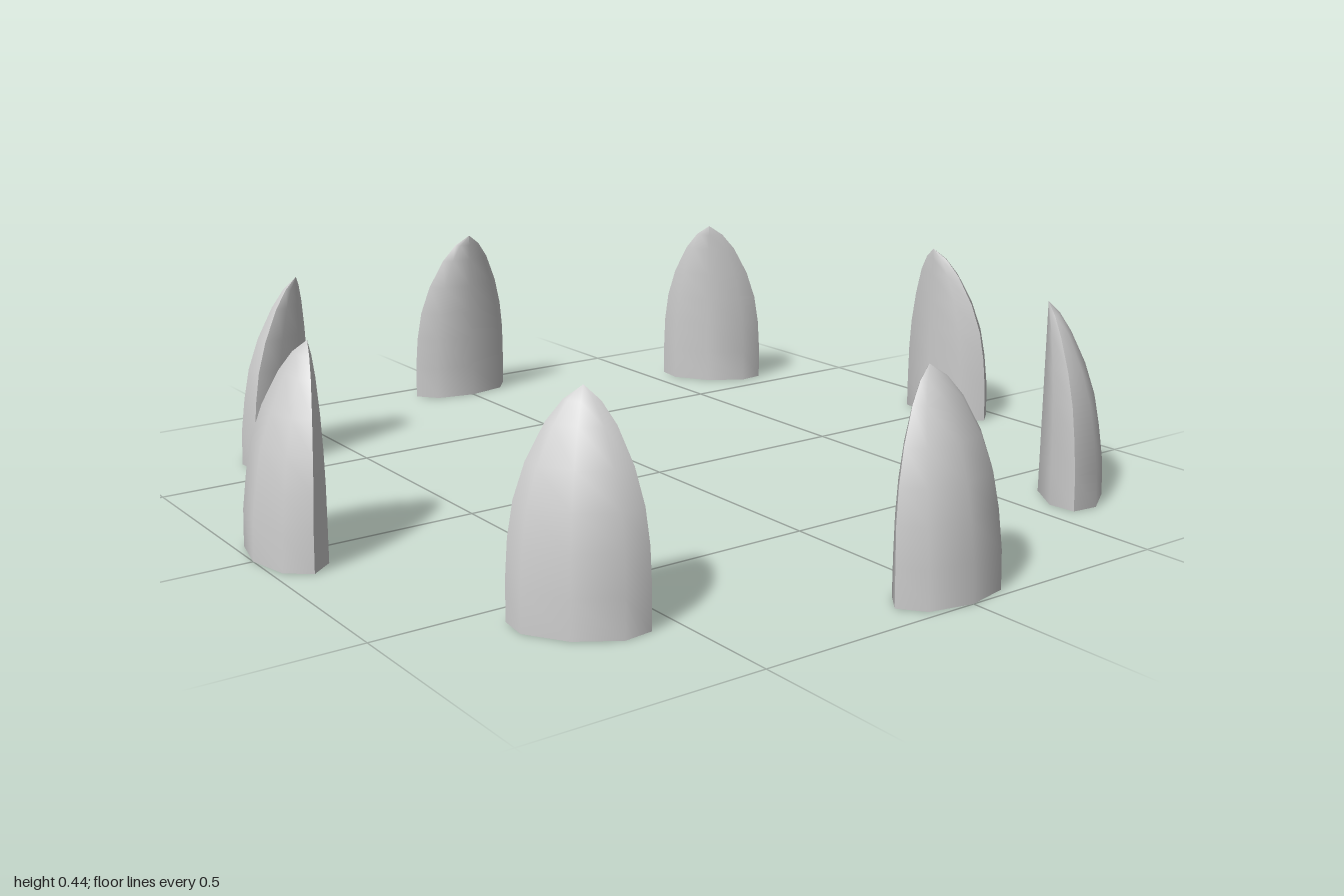
import * as THREE from 'three';
import { toCreasedNormals } from 'three/addons/utils/BufferGeometryUtils.js';

const COUNT = 8;
const INNER_RADIUS = 0.86; // the nearly upright inner face of every claw

// Claw sections from base to tip: height, half width, half depth
const SECTIONS = [
  [0, 0.135, 0.07],
  [0.08, 0.135, 0.068],
  [0.16, 0.131, 0.062],
  [0.23, 0.121, 0.055],
  [0.3, 0.1, 0.043],
  [0.37, 0.066, 0.026],
  [0.41, 0.035, 0.013],
  [0.435, 0, 0],
];

// Eight-sided spike, flattened in depth and leaning towards the centre
function clawGeometry() {
  const points = SECTIONS.map(([y, w]) => new THREE.Vector2(w, y));
  points.unshift(new THREE.Vector2(0, 0)); // closes the base
  const geometry = new THREE.LatheGeometry(points, 8);
  const pos = geometry.attributes.position;
  for (let i = 0; i < pos.count; i++) {
    const [, w, d] = SECTIONS.find(([y]) => Math.abs(y - pos.getY(i)) < 1e-4);
    const cos = w > 0 ? pos.getZ(i) / w : 0;
    pos.setZ(i, INNER_RADIUS + d + d * cos);
  }
  geometry.deleteAttribute('uv');
  return toCreasedNormals(geometry, 0.78);
}

export function createModel() {
  const group = new THREE.Group();
  group.name = 'clawRing';
  const material = new THREE.MeshStandardMaterial({ color: 0xcccccc });
  const geometry = clawGeometry();

  // Ring of claws around the vertical axis
  for (let i = 0; i < COUNT; i++) {
    const claw = new THREE.Mesh(geometry, material);
    claw.name = `claw${i + 1}`;
    claw.rotation.y = (i / COUNT) * Math.PI * 2;
    group.add(claw);
  }
  return group;
}
